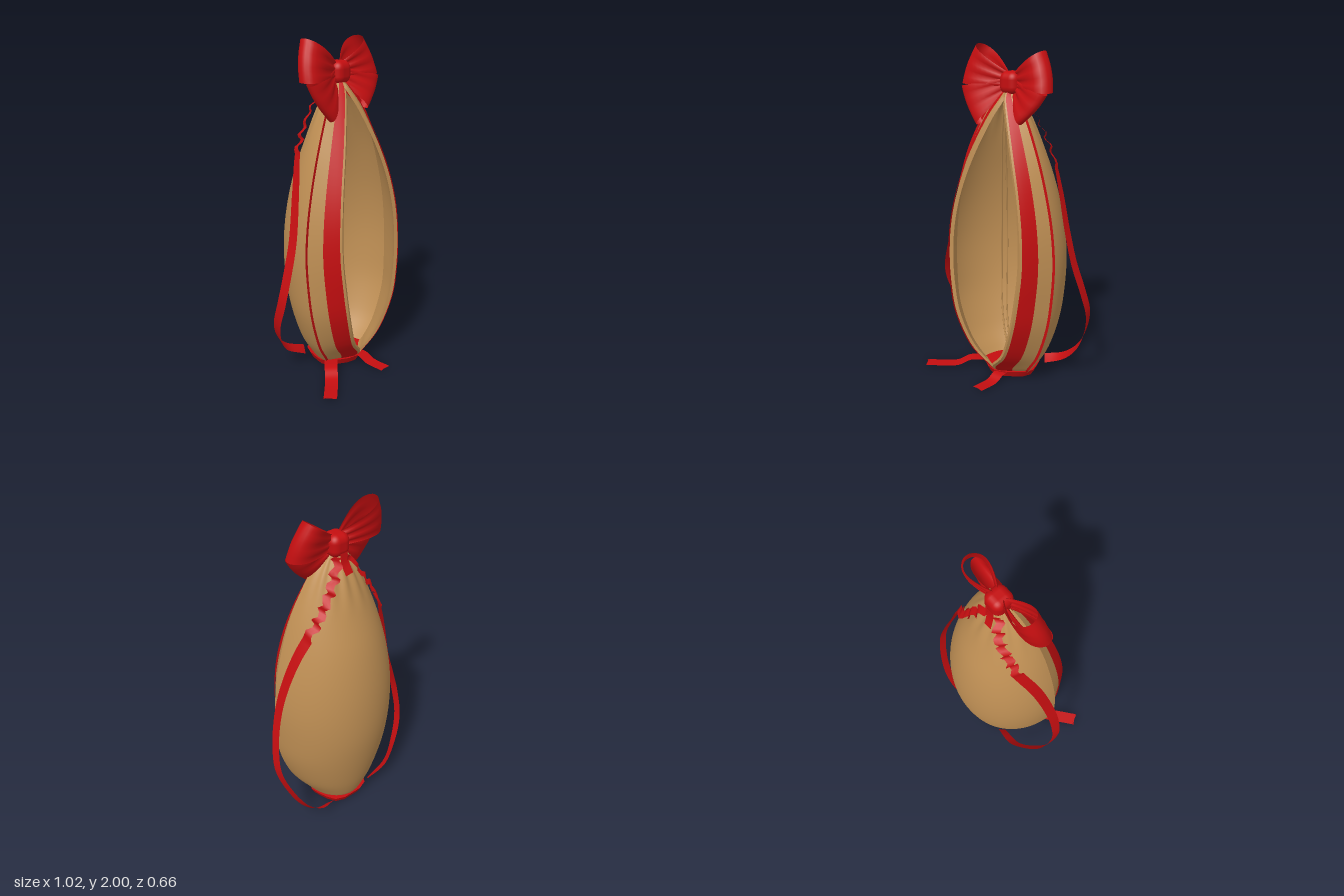
import * as THREE from 'three';
import { RoundedBoxGeometry } from 'three/addons/geometries/RoundedBoxGeometry.js';

const V = (x, y, z) => new THREE.Vector3(x, y, z);
const lerp = THREE.MathUtils.lerp;

// Grid surface from a rule f(u, v) -> Vector3
function surface(f, nu, nv) {
  const pos = [], idx = [];
  for (let i = 0; i <= nu; i++)
    for (let j = 0; j <= nv; j++) pos.push(...f(i / nu, j / nv).toArray());
  for (let i = 0; i < nu; i++)
    for (let j = 0; j < nv; j++) {
      const a = i * (nv + 1) + j, b = a + nv + 1;
      idx.push(a, b, a + 1, b, b + 1, a + 1);
    }
  const g = new THREE.BufferGeometry();
  g.setAttribute('position', new THREE.Float32BufferAttribute(pos, 3));
  g.setIndex(idx);
  g.computeVertexNormals();
  return g;
}

// Pod cross-sections: height, half width, back z, opening half width, front z
const rows = [
  [0.03, 0.17, -0.19, 0, 0.11], [0.08, 0.21, -0.215, 0.005, 0.155], [0.2, 0.29, -0.255, 0.12, 0.2],
  [0.4, 0.36, -0.3, 0.205, 0.235], [0.6, 0.385, -0.328, 0.245, 0.238], [0.8, 0.39, -0.33, 0.262, 0.228],
  [1, 0.37, -0.31, 0.25, 0.215], [1.2, 0.325, -0.268, 0.21, 0.19], [1.4, 0.26, -0.2, 0.145, 0.15],
  [1.6, 0.165, -0.125, 0.065, 0.09], [1.71, 0.085, -0.075, 0.012, 0.04], [1.76, 0.03, -0.05, 0, 0],
];
const curve = (a, b) => new THREE.CatmullRomCurve3(rows.map(r => V(r[a], r[0], r[b])), false, 'catmullrom');
const bodyCurve = curve(1, 2), openCurve = curve(3, 4);

function section(u, off) {
  const b = bodyCurve.getPoint(u), o = openCurve.getPoint(u);
  const seam = lerp(b.z, o.z, 0.7);
  return {
    y: b.y, w: Math.max(b.x + off, 0.005), back: b.z - off, seam,
    open: Math.max(o.x + off, 0), front: o.z + off * 0.5,
  };
}
// Rounded back, t from -1 to 1 between the side seams, gathered near the top
function backPoint(u, t, off) {
  const s = section(u, off), a = t * Math.PI / 2;
  const fold = 1 + 0.05 * Math.sin(a * 15) * THREE.MathUtils.smoothstep(s.y, 1.4, 1.7) * Math.cos(a);
  return V(s.w * Math.sin(a) * fold, s.y, s.seam - (s.seam - s.back) * Math.cos(a) * fold);
}
// Front panel, t from 0 at the opening to 1 at the seam
function panelPoint(u, t, off, side) {
  const s = section(u, off);
  const x = lerp(s.open, Math.max(s.w - 0.018, s.open), Math.pow(t, 0.85));
  return V(side * x, s.y, lerp(s.front, s.seam, t));
}

// Ribbon strip along a path; normal(p) gives the facing, ruffle the gathered share of its length
function ribbon(points, width, normal, { ruffle = 0, notch = 0 } = {}) {
  const path = new THREE.CatmullRomCurve3(points.map(p => V(...p)));
  return surface((u, v) => {
    const p = path.getPoint(u), tan = path.getTangent(u), n = normal(p);
    const side = new THREE.Vector3().crossVectors(tan, n).normalize();
    const c = v * 2 - 1;
    const wave = u < ruffle ? Math.sin(u / ruffle * Math.PI * 13) : 0;
    p.addScaledVector(side, c * width / 2 * (u < ruffle ? 0.75 : 1) + wave * 0.014);
    p.addScaledVector(n, Math.cos(u * 120) * (u < ruffle ? 0.012 : 0));
    if (u === 1) p.addScaledVector(tan, -notch * (1 - Math.abs(c)));
    return p;
  }, 90, 2);
}

// Bow loop: goes out along its front and returns along its back
function bowLoop(innerA, innerB, endA, endB, depth) {
  const [ia, ib, ea, eb] = [innerA, innerB, endA, endB].map(p => V(...p));
  return surface((u, v) => {
    const a = u * Math.PI * 2, s = (1 - Math.cos(a)) / 2;
    const p = ia.clone().lerp(ib, v).lerp(ea.clone().lerp(eb, v), s);
    p.z += depth * Math.sin(a) * (0.35 + 0.85 * s) + 0.008 * Math.sin(v * 16) * (1 - s);
    p.x += Math.sign(ea.x) * 0.015 * Math.sin(Math.PI * v) * s;
    return p;
  }, 28, 10);
}

export function createModel() {
  const model = new THREE.Group();
  model.name = 'ribbonedPod';
  const tan = new THREE.MeshStandardMaterial({ color: 0xbf8f54, side: THREE.DoubleSide });
  tan.name = 'tan shell';
  const red = new THREE.MeshStandardMaterial({ color: 0xc40e10, side: THREE.DoubleSide });
  red.name = 'red ribbon';
  const add = (name, geo, mat) => {
    const m = new THREE.Mesh(geo, mat);
    m.name = name;
    model.add(m);
    return m;
  };

  // Shell and its lining
  add('backShell', surface((u, v) => backPoint(u, v * 2 - 1, 0), 48, 60), tan);
  add('backLining', surface((u, v) => backPoint(u, v * 2 - 1, -0.02), 48, 40), tan);
  for (const side of [1, -1]) {
    const tag = side > 0 ? 'left' : 'right';
    add(tag + 'FrontPanel', surface((u, v) => panelPoint(u, v, 0, side), 48, 8), tan);
    add(tag + 'PanelLining', surface((u, v) => panelPoint(u, v, -0.02, side), 48, 8), tan);
    add(tag + 'OpeningLip', surface((u, v) => panelPoint(u, 0, -0.02 * v, side), 48, 1), tan);
    // Red step where the back overlaps the front panel
    add(tag + 'SeamTrim', surface((u, v) =>
      panelPoint(u, 1, 0, side).lerp(backPoint(u, side, 0), v), 48, 1), red);
    // Wide red band beside the opening
    add(tag + 'FrontBand', surface((u, v) => panelPoint(u, lerp(0.05, 0.52, v), 0.007, side), 48, 5), red);
    // Stitched ridges on the lining
    for (const t of [0.36, 0.42]) {
      const pts = [];
      for (let i = 1; i < 12; i++) pts.push(backPoint(i / 12, side * t, -0.022));
      add(tag + 'LiningRidge', new THREE.TubeGeometry(new THREE.CatmullRomCurve3(pts), 40, 0.006, 5), tan);
    }
  }

  // Crumpled foot pad
  const foot = new THREE.CylinderGeometry(0.185, 0.165, 0.04, 18);
  const fp = foot.attributes.position;
  for (let i = 0; i < fp.count; i++) {
    const a = Math.atan2(fp.getZ(i), fp.getX(i)), k = 1 + 0.05 * Math.sin(a * 5);
    fp.setXYZ(i, fp.getX(i) * k, fp.getY(i), fp.getZ(i) * k * 0.92);
  }
  foot.computeVertexNormals();
  add('footPad', foot, red).position.set(0, 0.022, -0.045);

  // Long loose ribbons, gathered at the top
  const outward = p => V(p.x, 0, p.z * 0.6).normalize();
  add('leftLongRibbon', ribbon([
    [0.03, 1.74, -0.08], [0.1, 1.62, -0.125], [0.17, 1.5, -0.135], [0.24, 1.38, -0.125], [0.325, 1.2, -0.08],
    [0.4, 0.98, -0.045], [0.45, 0.8, -0.045], [0.495, 0.62, -0.08], [0.508, 0.48, -0.12],
    [0.46, 0.32, -0.17], [0.38, 0.18, -0.205], [0.28, 0.09, -0.21], [0.16, 0.045, -0.18]],
  0.062, outward, { ruffle: 0.27 }), red);
  add('rightLongRibbon', ribbon([
    [-0.03, 1.74, -0.08], [-0.1, 1.62, -0.125], [-0.17, 1.5, -0.135], [-0.24, 1.37, -0.12], [-0.33, 1.16, -0.06],
    [-0.41, 0.9, -0.015], [-0.47, 0.72, -0.005], [-0.507, 0.55, -0.02], [-0.49, 0.38, -0.08],
    [-0.42, 0.24, -0.13], [-0.3, 0.12, -0.18], [-0.16, 0.045, -0.17]],
  0.062, outward, { ruffle: 0.27 }), red);

  // Notched tails on the ground
  const up = () => V(0, 1, 0);
  add('rightTail', ribbon([[-0.15, 0.045, 0.04], [-0.22, 0.045, 0.1], [-0.28, 0.012, 0.155], [-0.44, 0.012, 0.28]],
    0.078, up, { notch: 0.025 }), red);
  add('frontTail', ribbon([[0.04, 0.03, 0.06], [0.04, 0.035, 0.14], [0.038, 0.01, 0.2], [0.028, 0.01, 0.328]],
    0.075, up, { notch: 0.006 }), red);

  // Bow with four loops and a knot
  const z = -0.03;
  add('rightUpperLoop', bowLoop([-0.02, 1.855, z], [-0.02, 1.77, z], [-0.25, 2, -0.05], [-0.32, 1.775, 0], 0.075), red);
  add('rightLowerLoop', bowLoop([-0.02, 1.82, z], [-0.01, 1.74, z], [-0.31, 1.76, 0.03], [-0.17, 1.55, 0.065], 0.05), red);
  add('leftUpperLoop', bowLoop([0.03, 1.85, z], [0.03, 1.77, z], [0.215, 1.98, -0.05], [0.3, 1.76, 0], 0.075), red);
  add('leftLowerLoop', bowLoop([0.03, 1.82, z], [0.02, 1.74, z], [0.29, 1.75, 0.03], [0.145, 1.58, 0.065], 0.05), red);
  add('bowKnot', new RoundedBoxGeometry(0.125, 0.13, 0.13, 4, 0.045), red).position.set(0.01, 1.795, -0.035);
  add('knotTail', ribbon([[0.005, 1.77, -0.095], [0.0, 1.7, -0.105], [-0.01, 1.64, -0.13]],
    0.05, () => V(0, 0, -1)), red);
  return model;
}
